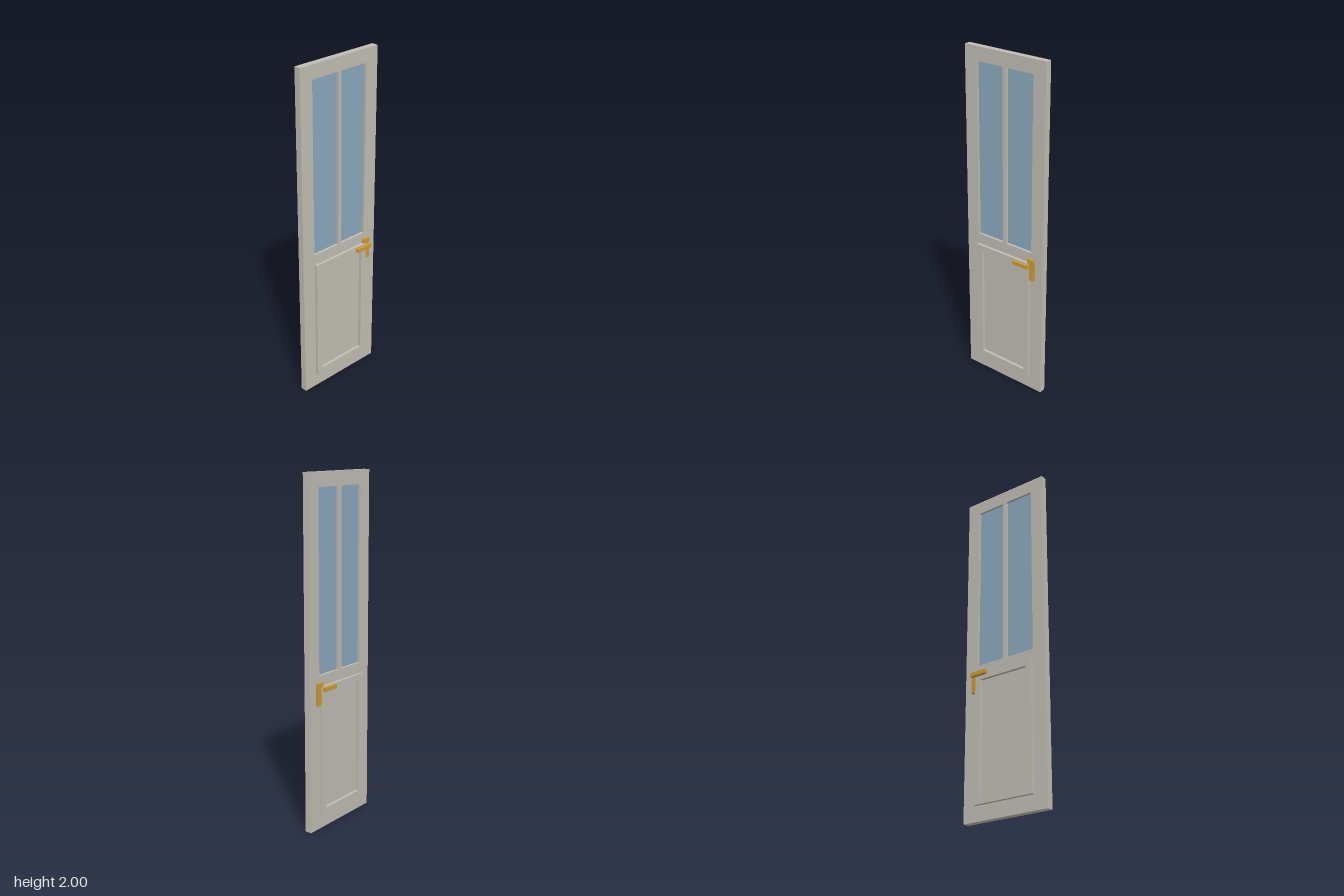
import * as THREE from 'three';

const paint = new THREE.MeshStandardMaterial({ name: 'greyPaint', color: 0xbfbcb2 });
const glass = new THREE.MeshStandardMaterial({ name: 'blueGlass', color: 0x8aa8bc });
const brass = new THREE.MeshStandardMaterial({ name: 'brass', color: 0xc89b3a });

// Adds the corners of an upright rectangle to a shape or hole
function rect(path, x0, x1, y0, y1) {
  path.moveTo(x0, y0);
  path.lineTo(x1, y0);
  path.lineTo(x1, y1);
  path.lineTo(x0, y1);
  path.closePath();
  return path;
}

// Flat board with rectangular openings, spanning z0 to z1
function board(name, outer, openings, z0, z1) {
  const shape = rect(new THREE.Shape(), ...outer);
  for (const o of openings) shape.holes.push(rect(new THREE.Path(), ...o));
  const geo = new THREE.ExtrudeGeometry(shape, { depth: z1 - z0, bevelEnabled: false });
  geo.translate(0, 0, z0);
  const mesh = new THREE.Mesh(geo, paint);
  mesh.name = name;
  return mesh;
}

// Box given by its limits on each axis
function block(name, mat, x0, x1, y0, y1, z0, z1) {
  const mesh = new THREE.Mesh(new THREE.BoxGeometry(x1 - x0, y1 - y0, z1 - z0), mat);
  mesh.position.set((x0 + x1) / 2, (y0 + y1) / 2, (z0 + z1) / 2);
  mesh.name = name;
  return mesh;
}

export function createModel() {
  const door = new THREE.Group();
  door.name = 'door';
  const half = 0.0195;

  // Door leaf with two tall window openings either side of a slim mullion
  const panes = [
    [-0.194, -0.0115, 0.899, 1.92],
    [0.0115, 0.194, 0.899, 1.92],
  ];
  door.add(board('doorLeaf', [-0.276, 0.276, 0, 2], panes, -half, half));
  panes.forEach((p, i) => {
    door.add(block(i ? 'leftPane' : 'rightPane', glass, ...p, -0.004, 0.004));
  });

  // Raised panel moulding and brass handle on both faces
  for (const [side, s] of [['front', 1], ['back', -1]]) {
    const span = (a, b) => (s > 0 ? [a, b] : [-b, -a]);
    door.add(board(side + 'PanelMoulding', [-0.193, 0.193, 0.087, 0.837],
      [[-0.157, 0.157, 0.121, 0.802]], ...span(half, 0.038)));
    door.add(block(side + 'HandlePlate', brass, 0.178, 0.224, 0.733, 0.862, ...span(half, 0.035)));
    door.add(block(side + 'HandleLever', brass, 0.1, 0.204, 0.818, 0.841, ...span(0.051, 0.071)));
  }
  return door;
}
